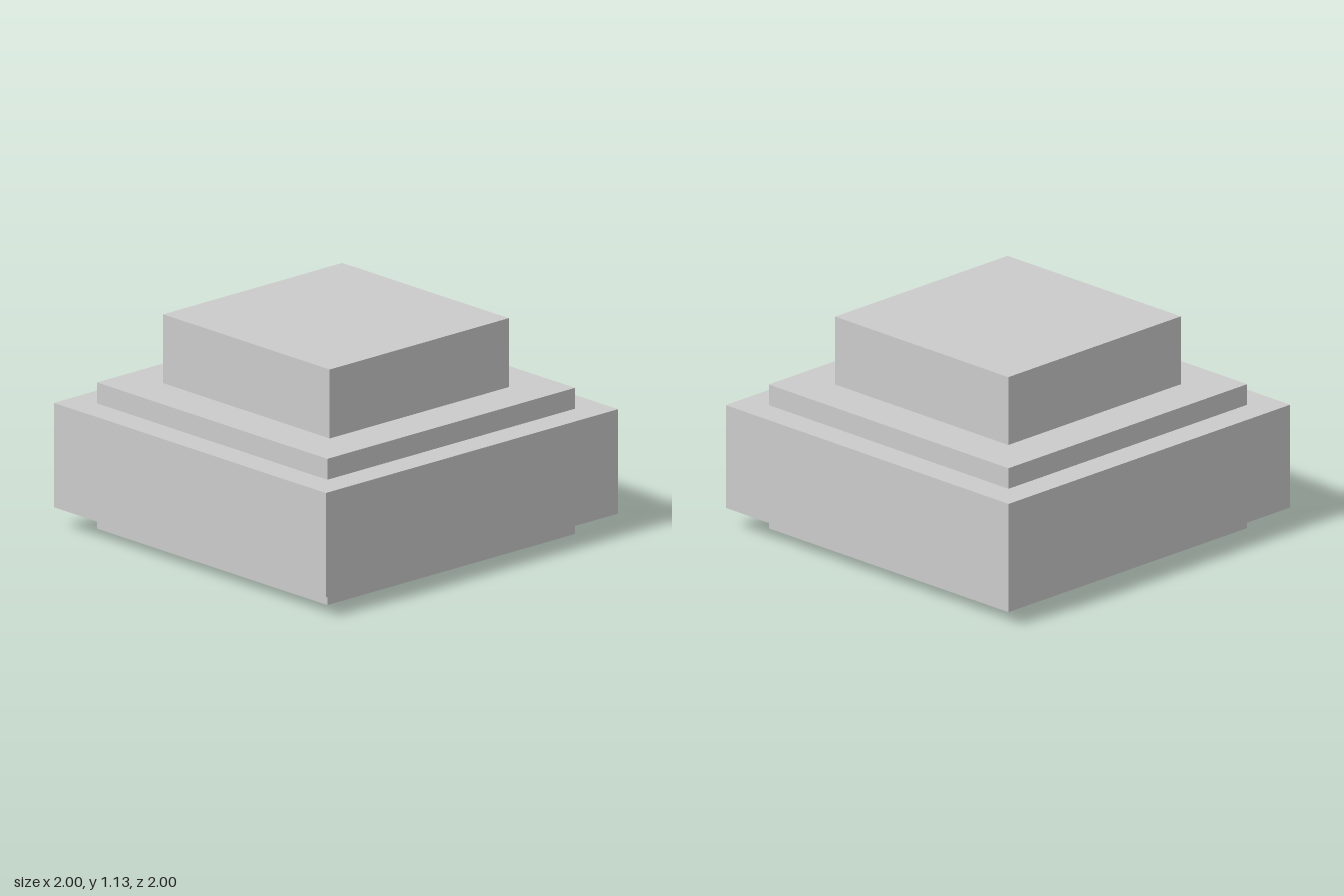
import * as THREE from 'three';

// Stacked square tiers: name, side length, bottom and top height
const TIERS = [
  ['foot', 1.695, 0, 0.11],
  ['body', 2, 0.11, 0.66],
  ['step', 1.695, 0.66, 0.77],
  ['cap', 1.225, 0.77, 1.133],
];

export function createModel() {
  const model = new THREE.Group();
  model.name = 'steppedBlock';
  const material = new THREE.MeshStandardMaterial({ color: 0xcccccc });

  for (const [name, side, bottom, top] of TIERS) {
    const tier = new THREE.Mesh(new THREE.BoxGeometry(side, top - bottom, side), material);
    tier.name = name;
    tier.position.y = (bottom + top) / 2;
    model.add(tier);
  }
  return model;
}
